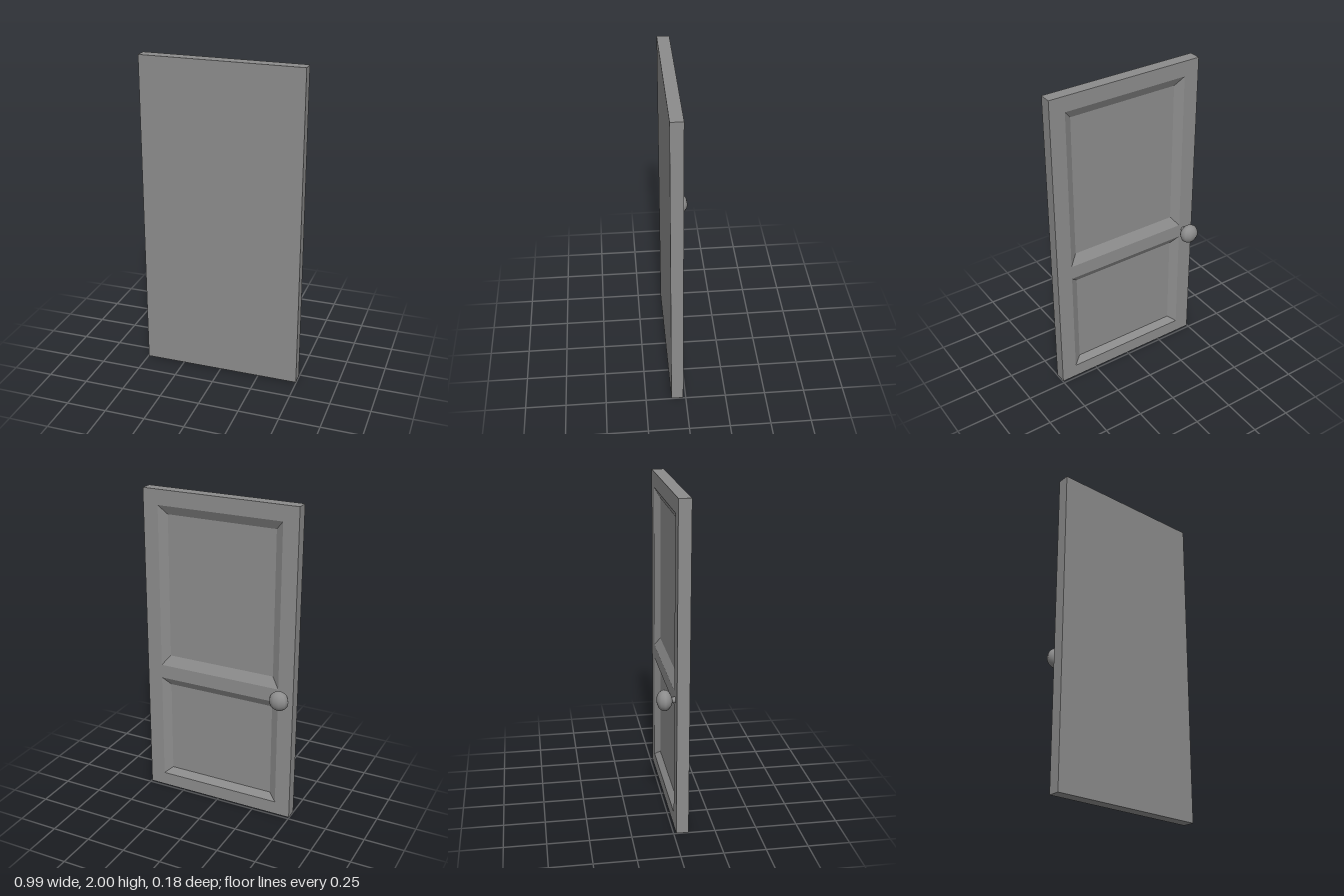
import * as THREE from 'three';

const W = 0.497, BACK = 0.016, RECESS = 0.048, FRONT = 0.09;

// Recessed panels: outer rectangle and the width of each bevel
const PANELS = [
  { name: 'upperPanelBevel', x: 0.4, y0: 0.875, y1: 1.905, side: 0.05, bottom: 0.062, top: 0.057 },
  { name: 'lowerPanelBevel', x: 0.4, y0: 0.087, y1: 0.787, side: 0.05, bottom: 0.041, top: 0.05 },
];

const rect = (x, y0, y1) => [[-x, y0], [x, y0], [x, y1], [-x, y1]];
const toVectors = (points) => points.map(([x, y]) => new THREE.Vector2(x, y));

// Four sloping faces from the frame surface down to the panel
function bevelGeometry(p) {
  const outer = rect(p.x, p.y0, p.y1);
  const inner = rect(p.x - p.side, p.y0 + p.bottom, p.y1 - p.top);
  const positions = [];
  for (let i = 0; i < 4; i++) {
    const j = (i + 1) % 4;
    const a = [...outer[i], BACK], b = [...outer[j], BACK];
    const c = [...inner[j], RECESS], d = [...inner[i], RECESS];
    positions.push(...a, ...c, ...b, ...a, ...d, ...c);
  }
  const geometry = new THREE.BufferGeometry();
  geometry.setAttribute('position', new THREE.Float32BufferAttribute(positions, 3));
  geometry.computeVertexNormals();
  return geometry;
}

export function createModel() {
  const model = new THREE.Group();
  model.name = 'door';
  const darkGrey = new THREE.MeshStandardMaterial({ color: 0x8c8c8c });
  const add = (name, geometry, parent = model) => {
    const mesh = new THREE.Mesh(geometry, darkGrey);
    mesh.name = name;
    parent.add(mesh);
    return mesh;
  };

  // Plain front slab, whose back shows as the recessed panels
  add('doorSlab', new THREE.BoxGeometry(2 * W, 2, FRONT - RECESS))
    .position.set(0, 1, (FRONT + RECESS) / 2);

  // Stiles and rails on the back
  const shape = new THREE.Shape(toVectors(rect(W, 0, 2)));
  for (const p of PANELS) shape.holes.push(new THREE.Path(toVectors(rect(p.x, p.y0, p.y1))));
  add('doorFrame', new THREE.ExtrudeGeometry(shape, { depth: RECESS - BACK, bevelEnabled: false }))
    .position.z = BACK;

  for (const p of PANELS) add(p.name, bevelGeometry(p));

  // Knob on its short stem
  const handle = new THREE.Group();
  handle.name = 'doorKnob';
  handle.position.set(-0.432, 0.834, 0);
  model.add(handle);
  const stem = add('knobStem', new THREE.CylinderGeometry(0.018, 0.018, 0.05, 12), handle);
  stem.rotation.x = Math.PI / 2;
  stem.position.z = -0.005;
  const knob = add('knobHead', new THREE.SphereGeometry(0.061, 10, 16), handle);
  knob.scale.z = 0.75;
  knob.position.z = -0.047;

  return model;
}
